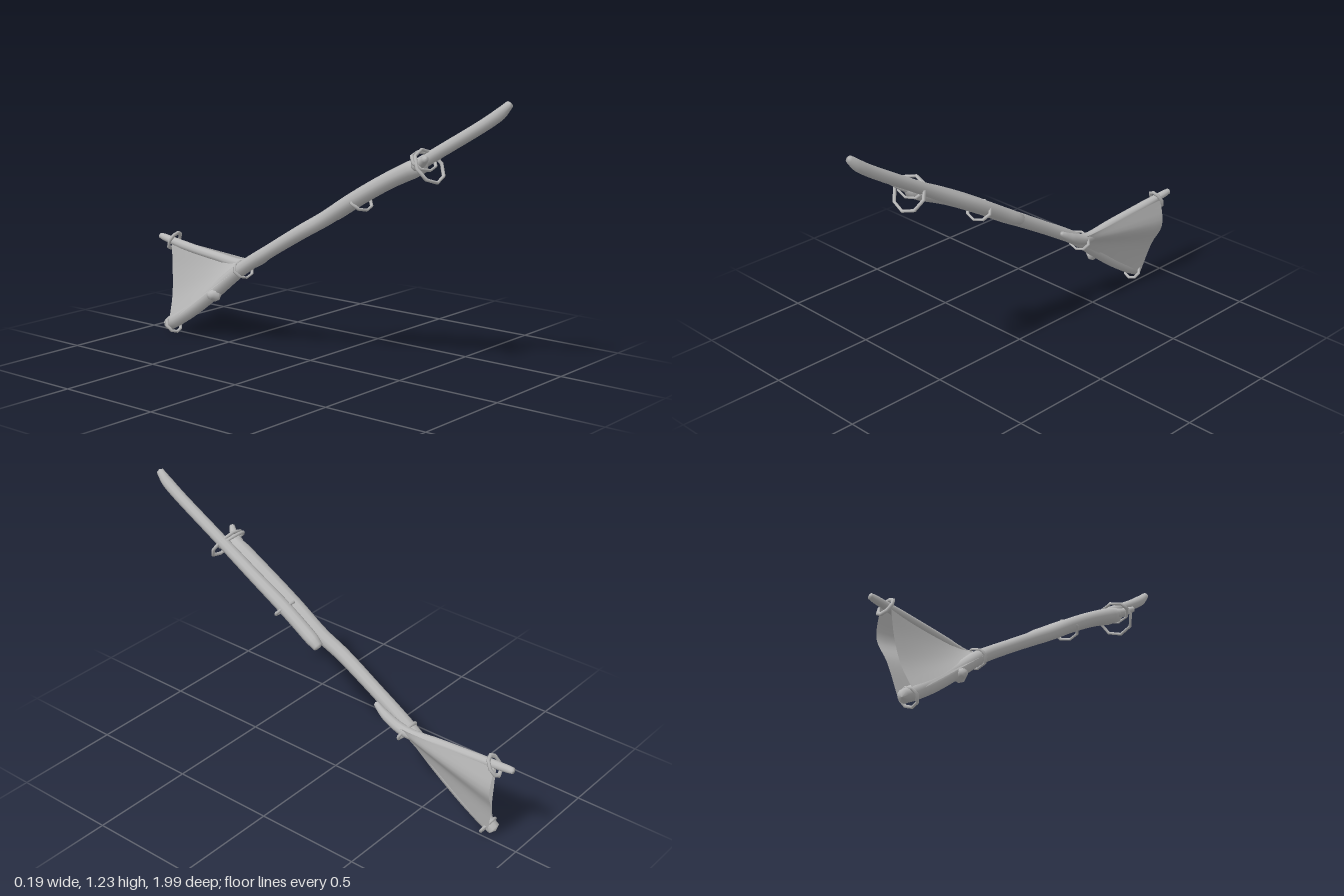
import * as THREE from 'three';
import { mergeVertices } from 'three/addons/utils/BufferGeometryUtils.js';

const V = (p) => new THREE.Vector3(p[0], p[1], p[2]);

// Tapered stick along points [x, y, z, radius], with blunt closed ends
function stickGeometry(points, segments = 48, sides = 10) {
  const curve = new THREE.CatmullRomCurve3(points.map(V));
  const geo = new THREE.TubeGeometry(curve, segments, 1, sides);
  const pos = geo.attributes.position;
  const p = new THREE.Vector3();
  for (let i = 0; i <= segments; i++) {
    const u = i / segments;
    const centre = curve.getPointAt(u);
    const t = curve.getUtoTmapping(u) * (points.length - 1);
    const k = Math.min(Math.floor(t), points.length - 2);
    let r = THREE.MathUtils.lerp(points[k][3], points[k + 1][3], t - k);
    const shift = new THREE.Vector3();
    if (i === 0 || i === segments) r = 0.0002;
    else if (i === 1 || i === segments - 1) {
      // pull the last full ring close to the tip
      r *= 0.85;
      shift.copy(curve.getPointAt(i === 1 ? 0 : 1)).sub(centre).multiplyScalar(0.7);
    }
    for (let j = 0; j <= sides; j++) {
      const n = i * (sides + 1) + j;
      p.fromBufferAttribute(pos, n).sub(centre).multiplyScalar(r).add(centre).add(shift);
      pos.setXYZ(n, p.x, p.y, p.z);
    }
  }
  geo.deleteAttribute('uv');
  geo.deleteAttribute('normal');
  const merged = mergeVertices(geo, 1e-6);
  merged.computeVertexNormals();
  return merged;
}

// Hide stretched in a fan from a front edge to a bent rear edge;
// a flare below 1 makes it swell sideways early
function hideGeometry(front, rear, flare) {
  const rearCurve = new THREE.CatmullRomCurve3(rear.map(V));
  const frontCurve = new THREE.LineCurve3(V(front[0]), V(front[1]));
  const geo = new THREE.PlaneGeometry(1, 1, 10, 12);
  const pos = geo.attributes.position;
  for (let i = 0; i < pos.count; i++) {
    const u = pos.getX(i) + 0.5;
    const v = 0.5 - pos.getY(i);
    const a = frontCurve.getPoint(v);
    const b = rearCurve.getPoint(v);
    const x = THREE.MathUtils.lerp(a.x, b.x, Math.pow(u, flare));
    const p = a.lerp(b, u);
    pos.setXYZ(i, x, p.y, p.z);
  }
  geo.computeVertexNormals();
  return geo;
}

export function createModel() {
  const group = new THREE.Group();
  const grey = new THREE.MeshStandardMaterial({ color: 0xb8b8b8 });
  grey.name = 'plainGrey';
  const greySheet = grey.clone();
  greySheet.side = THREE.DoubleSide;

  const add = (name, geo, mat = grey) => {
    const mesh = new THREE.Mesh(geo, mat);
    mesh.name = name;
    group.add(mesh);
    return mesh;
  };

  // Wooden sticks
  add('mainPole', stickGeometry([
    [-0.018, 0.965, 0.63, 0.042], [-0.013, 0.875, 0.44, 0.037], [-0.013, 0.768, 0.25, 0.036],
    [-0.014, 0.668, 0.09, 0.034], [-0.026, 0.61, -0.01, 0.033], [-0.028, 0.498, -0.2, 0.031],
    [-0.026, 0.375, -0.4, 0.032], [-0.028, 0.25, -0.56, 0.034], [-0.032, 0.145, -0.7, 0.034],
    [-0.037, 0.037, -0.87, 0.034],
  ]));
  add('upperPole', stickGeometry([
    [0.057, 1.237, 0.995, 0.016], [0.057, 1.185, 0.94, 0.026], [0.05, 1.0, 0.64, 0.027],
    [0.047, 0.875, 0.43, 0.029], [0.048, 0.775, 0.25, 0.031], [0.052, 0.69, 0.11, 0.031],
    [0.06, 0.655, 0.045, 0.026],
  ]));
  add('sideBranch', stickGeometry([
    [0.025, 0.473, -0.245, 0.012], [0.028, 0.43, -0.31, 0.022], [0.024, 0.39, -0.41, 0.026],
    [0.022, 0.405, -0.6, 0.022], [0.032, 0.428, -0.82, 0.022], [0.045, 0.453, -0.99, 0.016],
  ]));

  // Broken twig stubs
  add('endProng', stickGeometry([
    [-0.03, 0.95, 0.59, 0.028], [-0.05, 0.975, 0.64, 0.02], [-0.08, 1.0, 0.682, 0.013],
  ], 14, 8));
  add('poleKnot', stickGeometry([
    [-0.03, 0.235, -0.54, 0.034], [-0.055, 0.24, -0.545, 0.028], [-0.083, 0.24, -0.55, 0.016],
  ], 10, 8));

  // Hide stretched between branch and pole, covering the pole on both sides
  add('outerHide', hideGeometry(
    [[0.045, 0.41, -0.39], [0.008, 0.355, -0.4]],
    [[0.065, 0.44, -0.905], [0.084, 0.31, -0.9], [0.035, 0.2, -0.885], [0.0, 0.045, -0.85]],
    0.6,
  ), greySheet);
  add('innerHide', hideGeometry(
    [[0.01, 0.405, -0.4], [-0.058, 0.37, -0.41]],
    [[0.022, 0.44, -0.89], [0.01, 0.3, -0.875], [-0.015, 0.18, -0.855], [-0.068, 0.06, -0.83]],
    1,
  ), greySheet);

  // Cord lashings: centre, half width, half height, tilt
  const cords = [
    ['looseFrontCord', [0.0, 0.955, 0.642], 0.088, 0.078, -0.56],
    ['innerFrontCord', [-0.01, 0.975, 0.62], 0.075, 0.05, -0.75],
    ['middleCord', [0.02, 0.763, 0.268], 0.066, 0.048, -0.75],
    ['neckCord', [-0.004, 0.374, -0.4], 0.06, 0.042, -0.5],
    ['branchCord', [0.046, 0.44, -0.895], 0.034, 0.047, 0.53],
    ['poleEndCord', [-0.035, 0.05, -0.828], 0.044, 0.04, -0.56],
  ];
  for (const [name, centre, halfW, halfH, tilt] of cords) {
    const geo = new THREE.TorusGeometry(halfW, 0.008, 6, 8);
    geo.scale(1, halfH / halfW, 1);
    const cord = add(name, geo);
    cord.position.set(...centre);
    cord.rotation.x = tilt;
  }

  return group;
}
